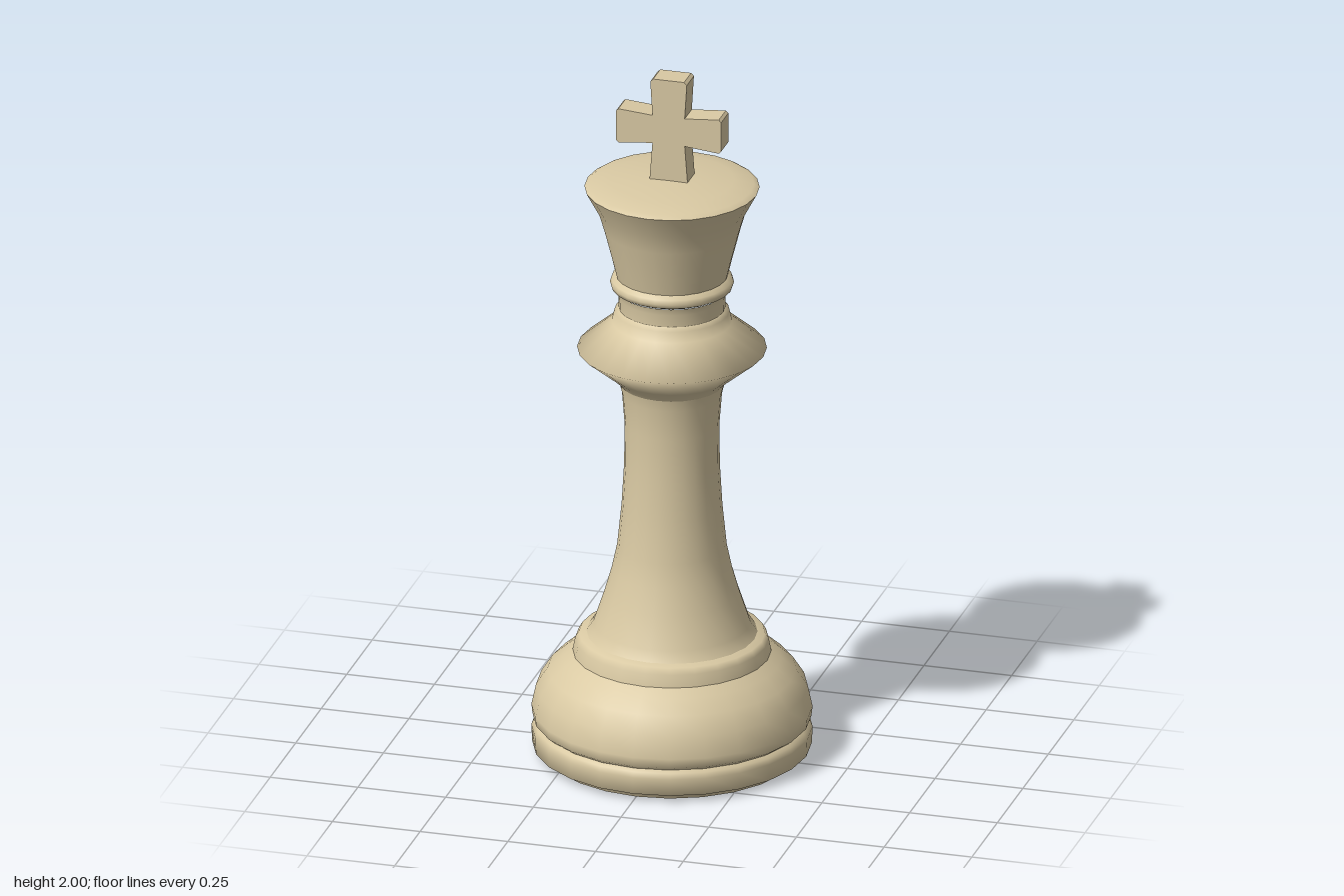
import * as THREE from 'three';

const SIDES = 24;

export function createModel() {
  const group = new THREE.Group();
  const ivory = new THREE.MeshStandardMaterial({ color: 0xd9c9a3 });
  ivory.name = 'ivory';

  const add = (name, geometry) => {
    const mesh = new THREE.Mesh(geometry, ivory);
    mesh.name = name;
    group.add(mesh);
    return mesh;
  };
  // Turned part from [radius, height] pairs, listed bottom to top
  const turned = (name, profile) =>
    add(name, new THREE.LatheGeometry(profile.map(([r, y]) => new THREE.Vector2(r, y)), SIDES));

  // Flat underside
  const underside = add('underside', new THREE.CircleGeometry(0.35, SIDES));
  underside.rotation.x = Math.PI / 2;

  // Foot ring, domed base and the step on it
  turned('footRing', [[0.35, 0], [0.357, 0.015], [0.383, 0.022], [0.385, 0.07], [0.378, 0.085], [0.368, 0.092]]);
  turned('base', [[0.368, 0.092], [0.382, 0.103], [0.385, 0.13], [0.372, 0.19], [0.34, 0.24],
    [0.3, 0.275], [0.272, 0.295]]);
  turned('baseStep', [[0.272, 0.295], [0.265, 0.33], [0.255, 0.347], [0.215, 0.355]]);

  // Slender stem
  turned('stem', [[0.235, 0.35], [0.215, 0.38], [0.185, 0.47], [0.165, 0.54], [0.15, 0.61], [0.138, 0.73],
    [0.131, 0.85], [0.13, 0.97], [0.137, 1.06], [0.147, 1.1]]);

  // Sharp-edged collar and neck
  turned('collar', [[0.14, 1.085], [0.153, 1.105], [0.175, 1.125], [0.26, 1.195], [0.165, 1.275],
    [0.158, 1.305], [0.146, 1.315]]);
  turned('neck', [[0.146, 1.31], [0.147, 1.35], [0.153, 1.37]]);
  turned('neckRing', [[0.15, 1.37], [0.166, 1.378], [0.17, 1.39], [0.166, 1.402], [0.153, 1.412]]);

  // Flared crown with a low domed top
  turned('crown', [[0.153, 1.41], [0.165, 1.46], [0.188, 1.55], [0.204, 1.605], [0.24, 1.672]]);
  turned('crownTop', [[0.24, 1.672], [0.225, 1.682], [0.17, 1.693], [0.08, 1.702], [0, 1.704]]);

  // Cross with slightly flared arms
  const right = [[0.055, 1.69], [0.046, 1.81], [0.143, 1.8], [0.15, 1.807], [0.15, 1.893], [0.143, 1.9],
    [0.046, 1.892], [0.052, 1.992], [0.044, 2]];
  const left = right.map(([x, y]) => [-x, y]).reverse();
  const outline = new THREE.Shape([...right, ...left].map(([x, y]) => new THREE.Vector2(x, y)));
  const cross = add('cross', new THREE.ExtrudeGeometry(outline, { depth: 0.07, bevelEnabled: false }));
  cross.position.z = -0.036;

  return group;
}
